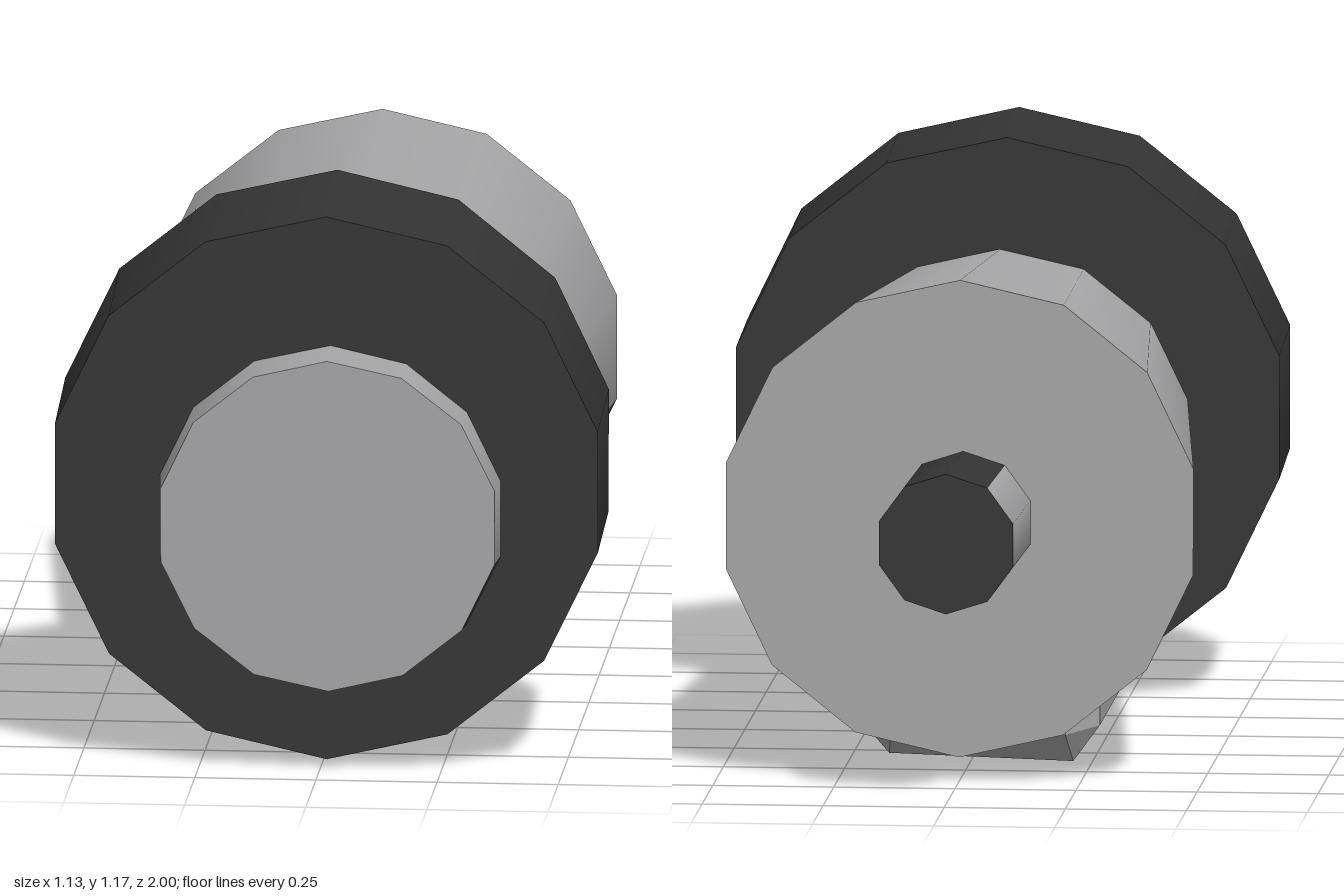
import * as THREE from 'three';
import { ConvexGeometry } from 'three/addons/geometries/ConvexGeometry.js';

const grey = new THREE.MeshStandardMaterial({ color: 0xa6a6a8 });
grey.name = 'light grey';
const dark = new THREE.MeshStandardMaterial({ color: 0x343434 });
dark.name = 'charcoal';
const palette = [grey, dark];

// Faceted drum along z between two slightly tilted ends.
// Each end: centre x, y, z, radius r, and tilts tx, ty (change of z per unit x and y).
// paint(k) gives the palette index of side face k, counted from the bottom towards +x.
function drum(name, sides, back, front, paint, frontCap, backCap) {
  const geo = new THREE.CylinderGeometry(1, 1, 1, sides, 1);
  geo.rotateX(Math.PI / 2);
  const pos = geo.attributes.position;
  for (let i = 0; i < pos.count; i++) {
    const end = pos.getZ(i) > 0 ? front : back;
    const dx = pos.getX(i) * end.r;
    const dy = pos.getY(i) * end.r;
    pos.setXYZ(i, end.x + dx, end.y + dy, end.z + dx * end.tx + dy * end.ty);
  }
  // One group per side face, then the two caps
  geo.clearGroups();
  for (let k = 0; k < sides; k++) geo.addGroup(k * 6, 6, paint(k));
  geo.addGroup(sides * 6, sides * 3, frontCap);
  geo.addGroup(sides * 9, sides * 3, backCap);
  const mesh = new THREE.Mesh(geo, palette);
  mesh.name = name;
  return mesh;
}

// Chamfered foot block, lower towards the back
function footBlock() {
  const points = [];
  const add = (x, y, z) => points.push(new THREE.Vector3(x - 0.02, y, z));
  for (const s of [-1, 1]) {
    const low = s > 0 ? 0.012 : 0;
    for (const [zIn, zOut, top] of [[0.28, 0.34, 0.22], [-0.36, -0.43, 0.165]]) {
      add(s * 0.19, low, zIn);
      add(s * 0.19, top, zIn);
      add(s * 0.245, 0.075, zIn);
      add(s * 0.245, top - 0.012, zIn);
      add(s * 0.18, 0.065, zOut);
      add(s * 0.18, top - 0.04, zOut);
    }
  }
  const mesh = new THREE.Mesh(new ConvexGeometry(points), grey);
  mesh.name = 'footBlock';
  return mesh;
}

export function createModel() {
  const model = new THREE.Group();
  model.name = 'housing';

  // Tapered body with a dark stripe low on each flank
  model.add(drum('body', 14,
    { x: 0, y: 0.545, z: -0.64, r: 0.495, tx: 0, ty: 0.02 },
    { x: 0.022, y: 0.53, z: 0.975, r: 0.352, tx: -0.05, ty: 0.045 },
    (k) => (k === 2 || k === 11 ? 1 : 0), 0, 0));

  // Wide dark collar around the front
  model.add(drum('collar', 14,
    { x: 0, y: 0.59, z: 0.488, r: 0.576, tx: 0.01, ty: -0.03 },
    { x: 0.012, y: 0.59, z: 0.885, r: 0.574, tx: -0.012, ty: 0.012 },
    () => 1, 1, 1));

  // Rear stub: dark end and upper faces
  model.add(drum('rearStub', 10,
    { x: -0.003, y: 0.547, z: -0.995, r: 0.146, tx: 0.03, ty: 0 },
    { x: -0.008, y: 0.538, z: -0.6, r: 0.146, tx: 0, ty: 0 },
    (k) => (k >= 3 && k <= 5 ? 1 : 0), 1, 1));

  model.add(footBlock());
  return model;
}
